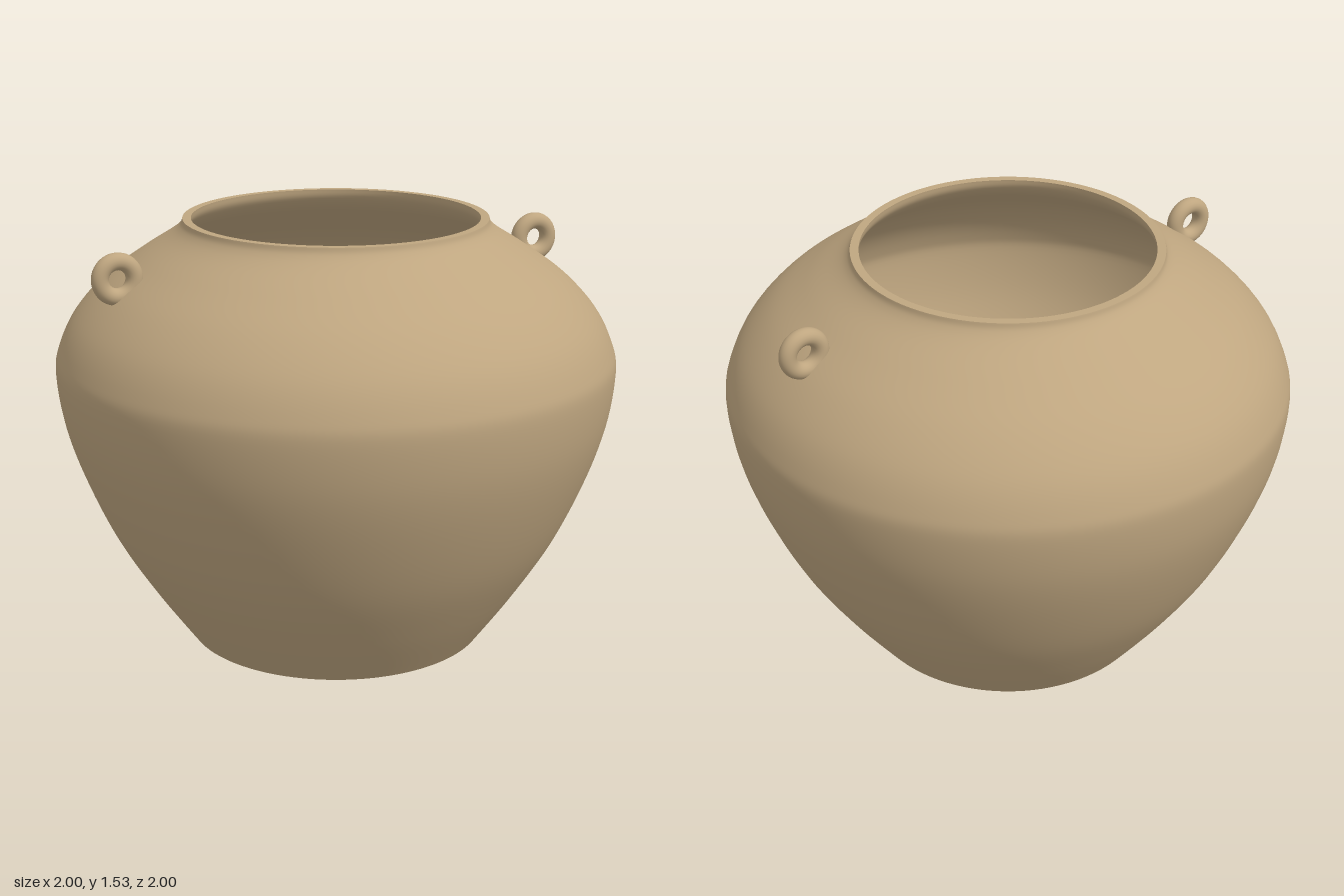
import * as THREE from 'three';

export function createModel() {
  const model = new THREE.Group();
  model.name = 'jar';
  const clay = new THREE.MeshStandardMaterial({ color: 0xbfa680 });
  clay.name = 'clay';

  const add = (name, geometry) => {
    const mesh = new THREE.Mesh(geometry, clay);
    mesh.name = name;
    model.add(mesh);
    return mesh;
  };
  const toPoints = (list) => list.map(([x, y]) => new THREE.Vector2(x, y));
  const lathe = (name, points) => add(name, new THREE.LatheGeometry(points, 96));

  // Outer wall, from foot to lip
  const outer = new THREE.SplineCurve(toPoints([
    [0.545, 0], [0.68, 0.19], [0.81, 0.4], [0.91, 0.62], [0.975, 0.82], [1, 1],
    [0.985, 1.09], [0.93, 1.2], [0.83, 1.31], [0.7, 1.405], [0.59, 1.475],
    [0.55, 1.51], [0.54, 1.535],
  ])).getPoints(72);
  lathe('outerWall', outer);

  // Lip and inner wall; each piece is separate so its edge stays sharp
  lathe('lip', toPoints([[0.54, 1.535], [0.51, 1.535]]));
  const inner = new THREE.SplineCurve(toPoints([
    [0.51, 1.535], [0.52, 1.5], [0.57, 1.45], [0.68, 1.38], [0.81, 1.285],
    [0.905, 1.18], [0.957, 1.08], [0.97, 1], [0.945, 0.82], [0.88, 0.63],
    [0.78, 0.41], [0.65, 0.2], [0.54, 0.03],
  ])).getPoints(60);
  lathe('innerWall', inner);

  // Floor inside and underside of the foot
  lathe('innerFloor', toPoints([[0.54, 0.03], [0, 0.03]]));
  lathe('underside', toPoints([[0, 0], [0.545, 0]]));

  // Ring lugs on both shoulders
  for (const [name, side] of [['leftLug', 1], ['rightLug', -1]]) {
    add(name, new THREE.TorusGeometry(0.061, 0.03, 20, 48)).position.set(side * 0.815, 1.387, 0);
  }
  return model;
}
